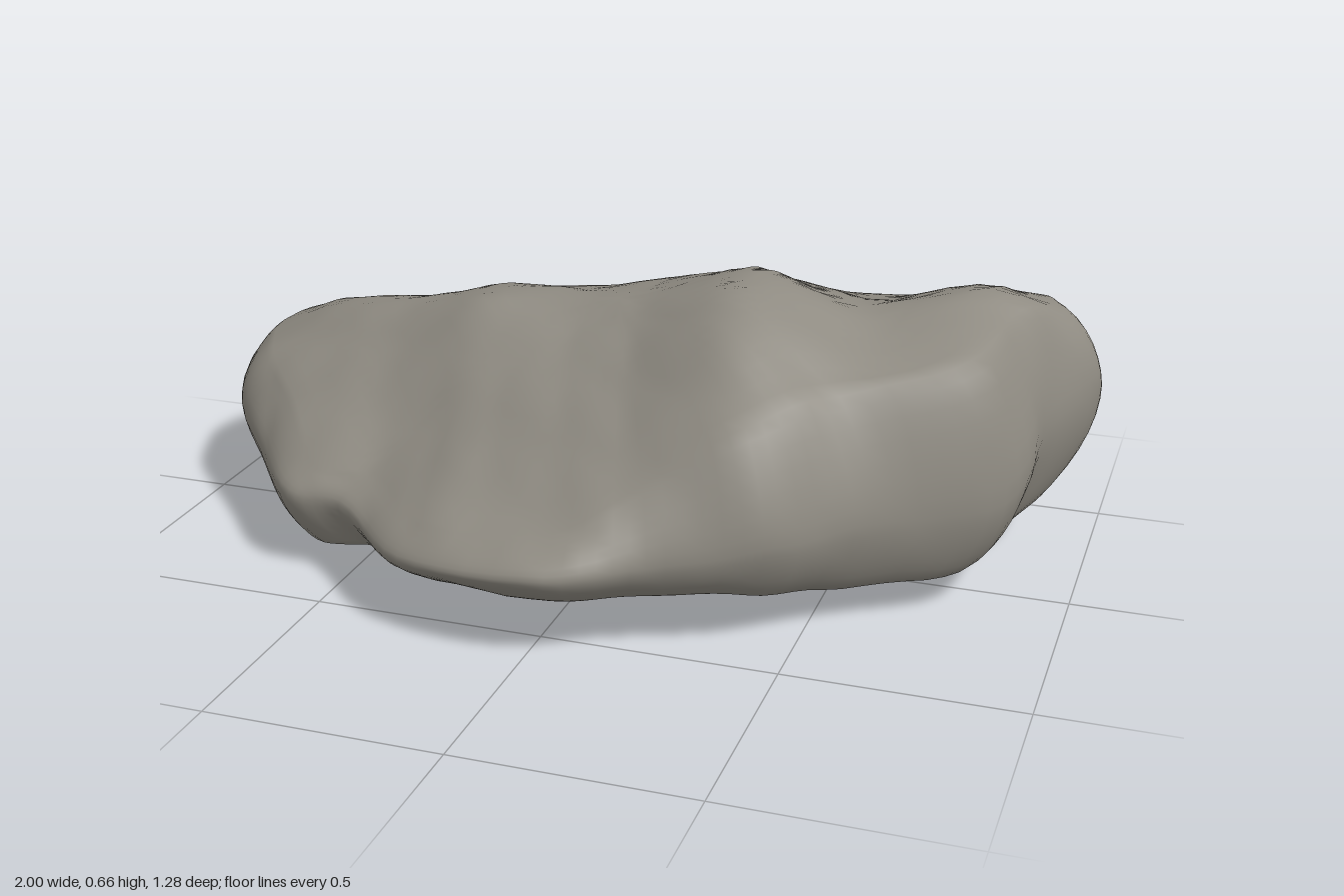
import * as THREE from 'three';
import { mergeVertices } from 'three/addons/utils/BufferGeometryUtils.js';

// Spokes around the boulder, running right -> front -> left -> back:
// x, z, y of the outline; scale and y of the upper rim; y of the lower rim
const SPOKES = [
  [1.0, -0.3, 0.38, 0.9, 0.57, 0.13],
  [0.92, -0.13, 0.34, 0.9, 0.58, 0.09],
  [0.87, 0.1, 0.25, 0.89, 0.54, 0.08],
  [0.63, 0.28, 0.24, 0.87, 0.5, 0.08],
  [0.45, 0.45, 0.23, 0.87, 0.46, 0.11],
  [0.24, 0.54, 0.2, 0.87, 0.35, 0.11],
  [0.06, 0.64, 0.19, 0.87, 0.26, 0.12],
  [-0.28, 0.58, 0.16, 0.88, 0.22, 0.1],
  [-0.5, 0.39, 0.17, 0.88, 0.24, 0.07],
  [-0.63, 0.37, 0.17, 0.89, 0.23, 0.05],
  [-0.8, 0.17, 0.2, 0.89, 0.3, 0.04],
  [-0.94, 0.0, 0.23, 0.9, 0.35, 0.07],
  [-1.0, -0.2, 0.25, 0.91, 0.36, 0.1],
  [-0.9, -0.38, 0.24, 0.9, 0.36, 0.1],
  [-0.7, -0.52, 0.22, 0.88, 0.34, 0.08],
  [-0.38, -0.64, 0.21, 0.87, 0.33, 0.07],
  [-0.06, -0.6, 0.23, 0.87, 0.38, 0.08],
  [0.26, -0.63, 0.25, 0.87, 0.39, 0.08],
  [0.52, -0.58, 0.26, 0.87, 0.43, 0.07],
  [0.78, -0.52, 0.28, 0.87, 0.49, 0.08],
  [0.96, -0.42, 0.34, 0.89, 0.55, 0.1],
];
const LOW_SCALE = 0.9;

// Heights inside the rims: x, z, y
const CROWN = [
  [0.27, 0.02, 0.645], [0.3, -0.1, 0.63], [0.25, -0.22, 0.58], [0.0, 0.0, 0.565],
  [0.0, -0.2, 0.545], [0.0, -0.36, 0.49], [0.28, -0.36, 0.52], [0.52, -0.34, 0.52],
  [0.5, -0.18, 0.565], [0.78, -0.15, 0.61], [0.74, -0.3, 0.58], [0.55, 0.06, 0.56],
  [0.4, 0.15, 0.6], [0.28, 0.26, 0.55], [0.1, 0.3, 0.44], [0.08, 0.15, 0.53],
  [-0.3, 0.0, 0.54], [-0.25, -0.18, 0.51], [-0.2, -0.4, 0.44], [-0.52, -0.12, 0.48],
  [-0.55, -0.34, 0.4], [-0.78, -0.2, 0.42], [-0.3, 0.25, 0.365], [-0.52, 0.12, 0.385],
];
const BELLY = [
  [0.0, 0.0, 0.08], [-0.5, 0.2, 0.005], [-0.58, -0.05, 0.035], [-0.5, -0.3, 0.05],
  [-0.1, -0.35, 0.065], [0.35, -0.38, 0.03], [0.64, -0.28, 0.01], [0.56, 0.0, 0.045],
  [0.3, 0.2, 0.075], [0.0, 0.35, 0.09], [-0.25, 0.25, 0.05],
];

// Smooth height field through scattered points (thin-plate spline)
function heightField(points) {
  const n = points.length, size = n + 3;
  const kernel = (dx, dz) => { const q = dx * dx + dz * dz; return q > 0 ? q * Math.log(q) : 0; };
  const rows = points.map(([x, z, y]) => [...points.map((p) => kernel(x - p[0], z - p[1])), 1, x, z, y]);
  for (const f of [() => 1, (p) => p[0], (p) => p[1]]) rows.push([...points.map(f), 0, 0, 0, 0]);
  for (let c = 0; c < size; c++) {
    let best = c;
    for (let r = c; r < size; r++) if (Math.abs(rows[r][c]) > Math.abs(rows[best][c])) best = r;
    [rows[c], rows[best]] = [rows[best], rows[c]];
    for (let r = 0; r < size; r++) {
      if (r === c) continue;
      const f = rows[r][c] / rows[c][c];
      for (let k = c; k <= size; k++) rows[r][k] -= f * rows[c][k];
    }
  }
  const w = rows.map((row, i) => row[size] / row[i]);
  return (x, z) => points.reduce((sum, p, i) => sum + w[i] * kernel(x - p[0], z - p[1]),
    w[n] + w[n + 1] * x + w[n + 2] * z);
}

const closedRing = (pointOf) =>
  new THREE.CatmullRomCurve3(SPOKES.map((s) => new THREE.Vector3(...pointOf(s))), true, 'centripetal');

// Small lumps and chips in the stone
const lump = ({ x, y, z }) =>
  0.4 * Math.sin(9 * x + 4 * z + 3 * y) * Math.cos(8 * z - 5 * x + 6 * y) +
  0.4 * Math.sin(17 * x - 11 * z + 1.7) * Math.sin(15 * z + 13 * y + 0.6) +
  0.4 * Math.abs(Math.sin(19 * x + 9 * y) * Math.cos(21 * z - 7 * x)) - 0.15;

function boulderGeometry() {
  const AROUND = 126, FLAT = 16, WALL = 14, UP = 2 * FLAT + WALL;
  const over = heightField([...SPOKES.map(([x, z, , s, y]) => [x * s, z * s, y]), ...CROWN]);
  const under = heightField([...SPOKES.map(([x, z, , , , y]) => [x * LOW_SCALE, z * LOW_SCALE, y]), ...BELLY]);
  const lowRing = closedRing(([x, z]) => [x * LOW_SCALE, 0, z * LOW_SCALE]);
  const edgeRing = closedRing(([x, z, y]) => [x, y, z]);
  const rimRing = closedRing(([x, z, , s]) => [x * s, 0, z * s]);
  const onField = (field, p, s) => new THREE.Vector3(p.x * s, field(p.x * s, p.z * s), p.z * s);

  const positions = [], index = [];
  for (let i = 0; i < AROUND; i++) {
    const u = i / AROUND, low = lowRing.getPoint(u), rim = rimRing.getPoint(u);
    const wall = new THREE.CatmullRomCurve3([
      onField(under, low, 0.85), onField(under, low, 1), edgeRing.getPoint(u),
      onField(over, rim, 1), onField(over, rim, 0.85),
    ], false, 'centripetal');
    for (let j = 0; j <= UP; j++) {
      // Underside, then the wall, then the crown
      let p;
      if (j < FLAT) p = onField(under, low, j / FLAT);
      else if (j <= FLAT + WALL) p = wall.getPoint(0.25 + 0.5 * (j - FLAT) / WALL);
      else p = onField(over, rim, (UP - j) / FLAT);
      const n = 0.012 * lump(p);
      positions.push(p.x * (1 + n), p.y + n, p.z * (1 + n));
      if (j === UP) continue;
      const a = i * (UP + 1) + j, c = ((i + 1) % AROUND) * (UP + 1) + j;
      if (j < UP - 1) index.push(a, a + 1, c + 1);
      else index.push(a, a + 1, c);
      if (j > 0 && j < UP - 1) index.push(a, c + 1, c);
    }
  }
  const geometry = new THREE.BufferGeometry();
  geometry.setAttribute('position', new THREE.Float32BufferAttribute(positions, 3));
  geometry.setIndex(index);
  const merged = mergeVertices(geometry, 1e-5);

  // Stand it on the ground
  merged.computeBoundingBox();
  merged.translate(0, -merged.boundingBox.min.y, 0);
  merged.computeVertexNormals();
  return merged;
}

export function createModel() {
  const stone = new THREE.MeshStandardMaterial({ color: 0x8f8b82 });
  stone.name = 'stone grey';

  const boulder = new THREE.Mesh(boulderGeometry(), stone);
  boulder.name = 'boulder';

  const model = new THREE.Group();
  model.name = 'rock';
  model.add(boulder);
  return model;
}
